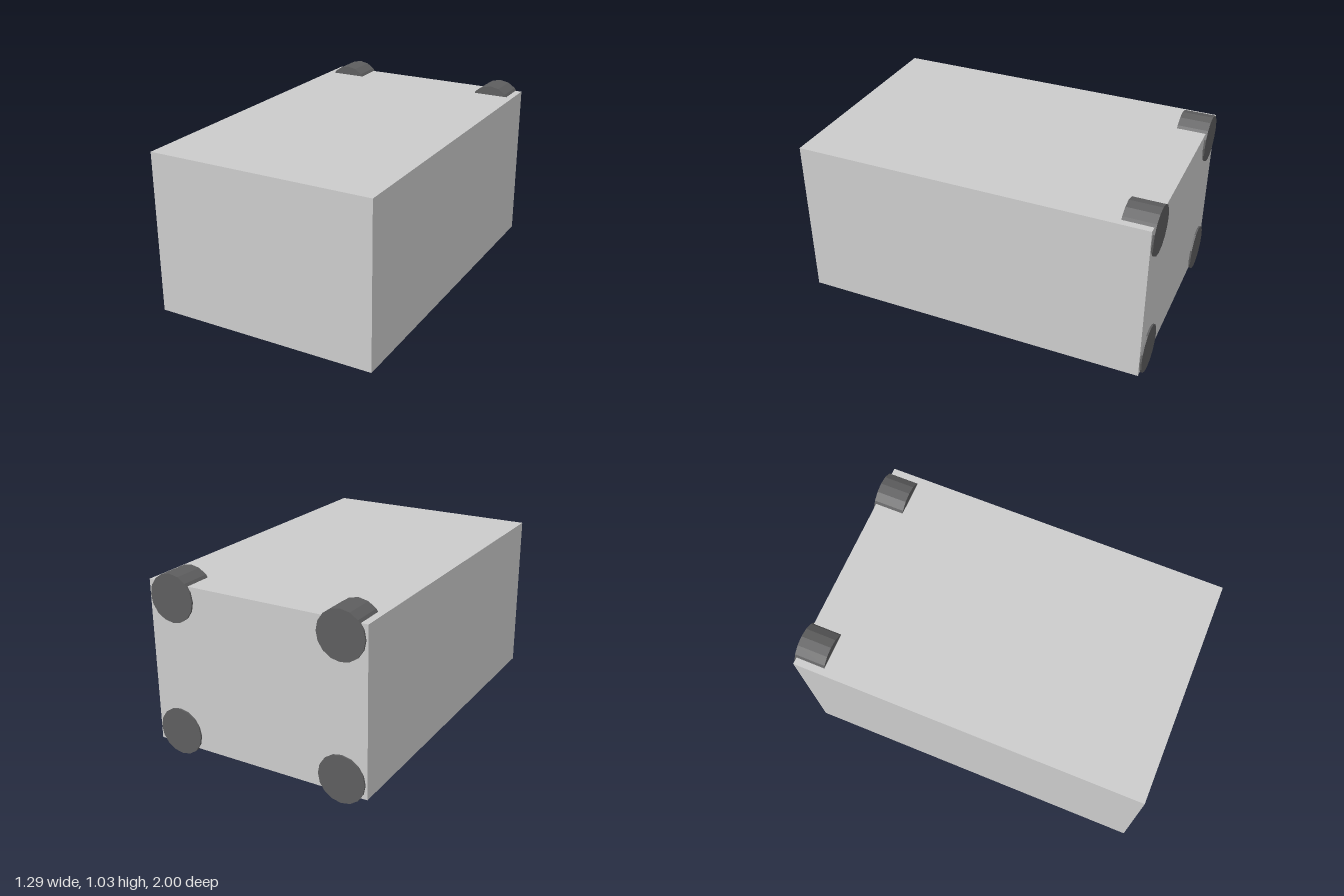
import * as THREE from 'three';

export function createModel() {
  const model = new THREE.Group();
  const grey = new THREE.MeshStandardMaterial({ color: 0xcccccc });
  const dark = new THREE.MeshStandardMaterial({ color: 0x5e5e5f, flatShading: true });
  const blue = new THREE.MeshStandardMaterial({ color: 0x5d96bb });

  const add = (name, geometry, material, x, y, z) => {
    const mesh = new THREE.Mesh(geometry, material);
    mesh.name = name;
    mesh.position.set(x, y, z);
    model.add(mesh);
  };

  // Main case
  add('body', new THREE.BoxGeometry(1.294, 0.926, 1.99), grey, 0, 0.518, 0.005);

  // Corner wheels, sunk into the case and slightly proud of its back
  const wheel = new THREE.CylinderGeometry(0.134, 0.134, 0.175, 16).rotateX(Math.PI / 2);
  for (const [level, y] of [['lower', 0.134], ['upper', 0.901]]) {
    for (const [side, x] of [['Left', 0.503], ['Right', -0.503]]) {
      add(level + side + 'Wheel', wheel, dark, x, y, -0.9125);
    }
  }

  // Cross bars under the case
  const bar = new THREE.BoxGeometry(1.03, 0.057, 0.088);
  ['front', 'middle', 'rear'].forEach((place, i) => {
    add(place + 'FootBar', bar, blue, 0, 0.0315, 0.759 - i * 0.533);
  });

  return model;
}
